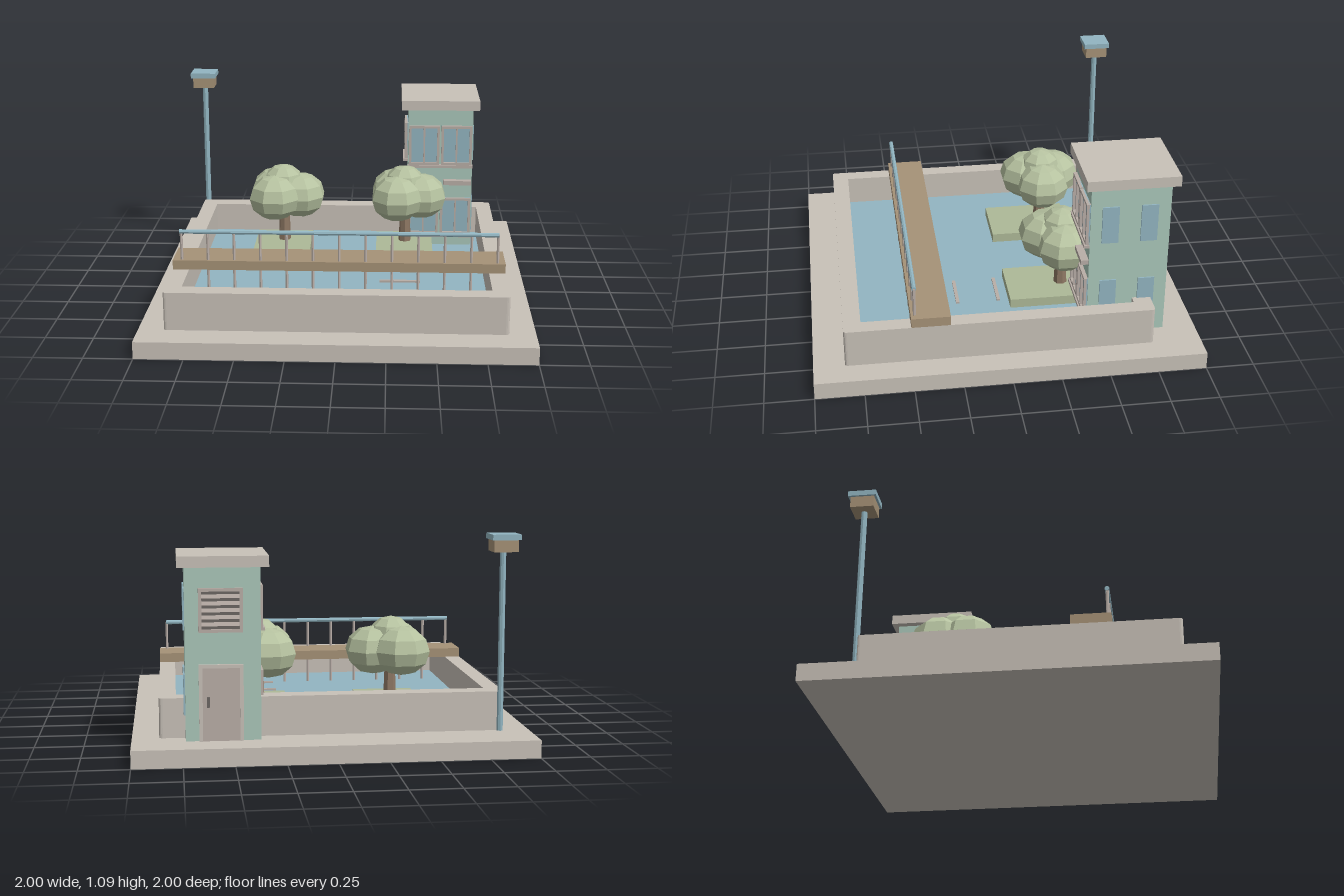
import * as THREE from 'three';

const mat = (name, color) => Object.assign(new THREE.MeshStandardMaterial({ color, flatShading: true }), { name });

export function createModel() {
  const root = new THREE.Group();
  root.name = 'pondCourtyard';
  const stone = mat('stone', 0xc8c1b8);
  const blue = mat('blue', 0x92b5c1);
  const mint = mat('mint', 0xaac7ba);
  const wood = mat('wood', 0xa69277);
  const grass = mat('grass', 0xadb997);
  const leaf = mat('leaf', 0xb6c2a0);
  const bark = mat('bark', 0x8d7763);
  const trim = mat('trim', 0xb9aea7);
  const dark = mat('darkMetal', 0x6b6663);

  const add = (name, geo, material, parent = root) => {
    const m = new THREE.Mesh(geo, material);
    m.name = name;
    parent.add(m);
    return m;
  };
  // Box given by its extents on each axis
  const box = (name, material, x0, x1, y0, y1, z0, z1, parent) => {
    const m = add(name, new THREE.BoxGeometry(x1 - x0, y1 - y0, z1 - z0), material, parent);
    m.position.set((x0 + x1) / 2, (y0 + y1) / 2, (z0 + z1) / 2);
    return m;
  };
  const group = (name, x, y, z, turn = 0) => {
    const g = new THREE.Group();
    g.name = name;
    g.position.set(x, y, z);
    g.rotation.y = turn;
    root.add(g);
    return g;
  };

  // Base slab, pond wall and water
  box('baseSlab', stone, -1, 1, 0, 0.09, -1, 1);
  const x0 = -0.87, x1 = 0.865, z0 = -0.75, z1 = 0.84, r = 0.018;
  const ring = new THREE.Shape();
  ring.moveTo(x0 + r, -z1);
  ring.lineTo(x1 - r, -z1).quadraticCurveTo(x1, -z1, x1, -z1 + r);
  ring.lineTo(x1, -z0 - r).quadraticCurveTo(x1, -z0, x1 - r, -z0);
  ring.lineTo(x0 + r, -z0).quadraticCurveTo(x0, -z0, x0, -z0 - r);
  ring.lineTo(x0, -z1 + r).quadraticCurveTo(x0, -z1, x0 + r, -z1);
  const hole = new THREE.Path();
  hole.moveTo(-0.785, -0.75).lineTo(-0.785, 0.655).lineTo(0.78, 0.655).lineTo(0.78, -0.75).lineTo(-0.785, -0.75);
  ring.holes.push(hole);
  const wall = add('pondWall', new THREE.ExtrudeGeometry(ring, { depth: 0.2, bevelEnabled: false, curveSegments: 4 }), stone);
  wall.rotation.x = -Math.PI / 2;
  wall.position.y = 0.09;
  box('water', blue, -0.785, 0.78, 0.085, 0.13, -0.655, 0.75);
  for (const z of [0, 0.22, 0.44]) box('waterBar', trim, 0.21, 0.43, 0.13, 0.14, z - 0.01, z + 0.008);

  // Bridge with railing posts that reach the water
  box('bridgeDeck', wood, -0.87, 0.865, 0.29, 0.34, 0.3, 0.5);
  for (let i = 0; i < 13; i++) {
    const post = add('railPost', new THREE.CylinderGeometry(0.008, 0.008, 0.365, 6), trim);
    post.position.set(-0.823 + i * 0.1373, 0.3125, 0.48);
  }
  const rail = add('handRail', new THREE.CylinderGeometry(0.012, 0.012, 1.66, 8), blue);
  rail.rotation.z = Math.PI / 2;
  rail.position.set(-0.002, 0.493, 0.48);

  // Lamp post
  const pole = add('lampPole', new THREE.CylinderGeometry(0.016, 0.016, 0.91, 8), blue);
  pole.position.set(-0.85, 0.545, -0.755);
  box('lampBox', wood, -0.913, -0.79, 1.0, 1.06, -0.816, -0.694);
  box('lampCap', blue, -0.925, -0.78, 1.06, 1.088, -0.828, -0.682);

  // Islands with trees
  for (const x of [-0.35, 0.35]) {
    const tree = group('treeIsland', x, 0, -0.35);
    box('island', grass, -0.165, 0.157, 0.12, 0.18, -0.155, 0.295, tree);
    add('trunk', new THREE.CylinderGeometry(0.026, 0.036, 0.25, 7), bark, tree).position.y = 0.3;
    for (const [bx, by, bz, br] of [
      [-0.048, 0.455, -0.08, 0.152], [-0.048, 0.455, 0.075, 0.152],
      [0.09, 0.45, 0, 0.15], [-0.005, 0.53, 0, 0.115],
    ]) {
      const blob = add('foliage', new THREE.SphereGeometry(br, 8, 6), leaf, tree);
      blob.position.set(bx, by, bz);
      blob.scale.y = 0.86;
      blob.rotation.y = Math.PI / 8;
    }
  }

  // Tower
  box('towerBody', mint, 0.365, 0.735, 0.09, 0.945, -0.83, -0.42);
  box('towerRoof', stone, 0.325, 0.77, 0.945, 1.0, -0.865, -0.39);

  // Window facing local +z: panes inside a raised frame
  const framedWindow = (x, y, z, turn, w, h) => {
    const g = group('framedWindow', x, y, z, turn);
    const t = 0.014, a = w / 2, b = h / 2;
    box('panes', blue, -a, a, -b, b, -0.002, 0.006, g);
    for (const s of [-1, 0, 1]) {
      const c = s * (a - t / 2), k = s ? t / 2 : t / 3;
      box('frameUpright', trim, c - k, c + k, -b, b, 0, 0.02, g);
      if (s) box('frameRail', trim, -a, a, s * (b - t / 2) - t / 2, s * (b - t / 2) + t / 2, 0, 0.02, g);
    }
    box('sill', trim, -a - 0.006, a + 0.006, -b - 0.016, -b, 0, 0.028, g);
  };
  for (const [y, h] of [[0.735, 0.23], [0.31, 0.22]]) {
    for (const x of [0.456, 0.642]) framedWindow(x, y, -0.42, 0, 0.175, h);
    framedWindow(0.365, y, -0.61, -Math.PI / 2, 0.2, 0.21);
    // Narrow plain windows on the side
    for (const z of [-0.522, -0.722])
      box('sideWindow', blue, 0.734, 0.743, y - 0.105, y + 0.1, z - 0.043, z + 0.043);
  }
  box('canopy', trim, 0.57, 0.73, 0.505, 0.53, -0.42, -0.38);

  // Back wall: louvre vent and door
  const back = group('backWall', 0.56, 0, -0.83, Math.PI);
  box('ventBack', dark, -0.1, 0.1, 0.635, 0.835, -0.002, 0.004, back);
  for (const s of [-1, 1]) {
    box('ventSide', trim, s * 0.1 - 0.008, s * 0.1 + 0.008, 0.627, 0.843, 0, 0.015, back);
    box('ventEdge', trim, -0.1, 0.1, 0.735 + s * 0.1 - 0.008, 0.735 + s * 0.1 + 0.008, 0, 0.015, back);
    box('doorJamb', stone, s * 0.1 - 0.009, s * 0.1 + 0.009, 0.09, 0.47, 0, 0.015, back);
  }
  for (let i = 0; i < 5; i++) {
    const slat = box('ventSlat', trim, -0.094, 0.094, 0.657 + i * 0.034, 0.677 + i * 0.034, 0.005, 0.012, back);
    slat.rotation.x = -0.35;
  }
  box('doorLintel', stone, -0.109, 0.109, 0.452, 0.47, 0, 0.015, back);
  box('door', trim, -0.092, 0.092, 0.09, 0.452, -0.002, 0.008, back);
  box('doorHandle', dark, -0.07, -0.056, 0.26, 0.31, 0.008, 0.022, back);
  return root;
}
